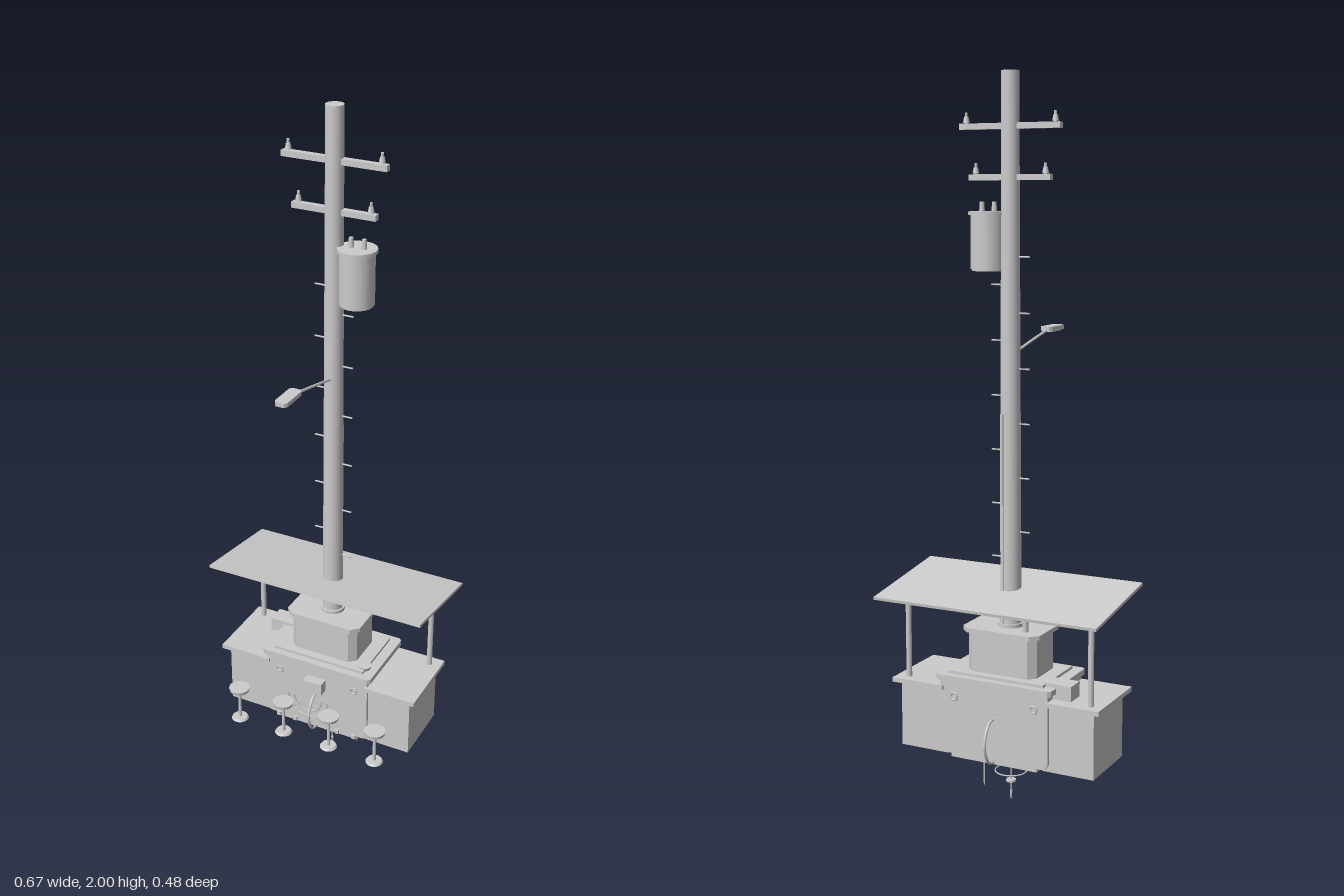
import * as THREE from 'three';

const mat = new THREE.MeshStandardMaterial({ color: 0xcccccc });
const flat = new THREE.MeshStandardMaterial({ color: 0xcccccc, flatShading: true });
const ZC = -0.065; // depth of the pole and body axis

export function createModel() {
  const root = new THREE.Group();
  const add = (name, geo, x, y, z, m = mat) => {
    const mesh = new THREE.Mesh(geo, m);
    mesh.name = name;
    mesh.position.set(x, y, z);
    root.add(mesh);
    return mesh;
  };
  const box = (name, w, h, d, x, y, z) => add(name, new THREE.BoxGeometry(w, h, d), x, y, z, flat);
  const cyl = (name, rt, rb, h, x, y, z, n = 16) => add(name, new THREE.CylinderGeometry(rt, rb, h, n), x, y, z);
  const tube = (name, pts, r, n = 24) => add(name, new THREE.TubeGeometry(
    new THREE.CatmullRomCurve3(pts.map(p => new THREE.Vector3(...p))), n, r, 8), 0, 0, 0);
  // Vertical prism with cut corners
  const cutPrism = (name, w, h, d, c, y) => {
    const x = w / 2, z = d / 2;
    const s = new THREE.Shape([[-x + c, -z], [x - c, -z], [x, -z + c], [x, z - c], [x - c, z], [-x + c, z], [-x, z - c], [-x, -z + c]]
      .map(p => new THREE.Vector2(...p)));
    const g = new THREE.ExtrudeGeometry(s, { depth: h, bevelEnabled: false });
    g.rotateX(-Math.PI / 2);
    return add(name, g, 0, y, ZC, flat);
  };

  // Pole with climbing rungs on alternating sides
  cyl('pole', 0.024, 0.03, 1.5, 0, 1.25, ZC, 20);
  for (let i = 0; i < 12; i++) {
    const side = i % 2 ? -1 : 1;
    const rung = cyl('rung', 0.0025, 0.0025, 0.036, side * 0.039, 0.7 + i * 0.0745, ZC, 6);
    rung.rotation.z = Math.PI / 2;
  }
  box('poleConduit', 0.008, 0.6, 0.008, 0.012, 0.8, ZC - 0.028);

  // Crossarms with insulators
  for (const [y, half] of [[1.859, 0.148], [1.727, 0.12]]) {
    box('crossarm', half * 2, 0.016, 0.018, 0, y, ZC);
    for (const s of [-1, 1]) {
      cyl('insulatorPin', 0.004, 0.004, 0.034, s * (half - 0.017), y + 0.02, ZC, 8);
      cyl('insulator', 0.006, 0.009, 0.016, s * (half - 0.017), y + 0.018, ZC, 10);
    }
  }

  // Transformer can
  cyl('transformerBody', 0.048, 0.048, 0.145, 0.066, 1.558, ZC, 20);
  cyl('transformerLid', 0.054, 0.054, 0.01, 0.066, 1.633, ZC, 16);
  cyl('transformerFoot', 0.044, 0.044, 0.006, 0.066, 1.484, ZC, 20);
  for (const x of [0.048, 0.085]) cyl('terminal', 0.006, 0.008, 0.028, x, 1.65, ZC, 10);
  box('transformerBracket', 0.03, 0.09, 0.02, 0.028, 1.56, ZC);

  // Street lamp
  tube('lampArm', [[0, 1.262, -0.04], [0, 1.285, 0.06], [0, 1.307, 0.16]], 0.004);
  const headShape = new THREE.Shape([[-0.012, 0], [0.012, 0], [0.018, 0.008], [0.018, 0.084], [0.012, 0.092], [-0.012, 0.092], [-0.018, 0.084], [-0.018, 0.008]]
    .map(p => new THREE.Vector2(...p)));
  const headGeo = new THREE.ExtrudeGeometry(headShape, { depth: 0.012, bevelEnabled: false });
  headGeo.rotateX(Math.PI / 2);
  add('lampHead', headGeo, 0, 1.317, 0.148, flat);
  box('lampLens', 0.024, 0.004, 0.065, 0, 1.303, 0.197);

  // Sloping roof and its posts
  box('roof', 0.67, 0.008, 0.317, 0, 0.609, -0.085).rotation.x = -0.149;
  for (const s of [-1, 1]) {
    cyl('roofPost', 0.008, 0.008, 0.258, s * 0.28, 0.471, -0.147, 12);
    // Side counters
    box('sideCabinet', 0.15, 0.188, 0.195, s * 0.221, 0.238, ZC);
    box('sideCounter', 0.16, 0.013, 0.228, s * 0.236, 0.337, ZC);
  }

  // Central body, wider than its cut lower corners
  const front = new THREE.Shape([[-0.132, 0.14], [0.132, 0.14], [0.132, 0.15], [0.155, 0.15], [0.165, 0.165], [0.165, 0.36], [-0.165, 0.36], [-0.165, 0.165], [-0.155, 0.15], [-0.132, 0.15]]
    .map(p => new THREE.Vector2(...p)));
  add('centreBody', new THREE.ExtrudeGeometry(front, { depth: 0.214, bevelEnabled: false }), 0, 0, ZC - 0.107, flat);
  cutPrism('centreSlab', 0.352, 0.016, 0.232, 0.008, 0.36);
  box('slabStep', 0.29, 0.008, 0.19, 0, 0.38, ZC);
  cutPrism('upperBox', 0.21, 0.12, 0.142, 0.02, 0.38);
  cutPrism('upperLid', 0.235, 0.012, 0.162, 0.022, 0.496);
  cyl('poleCollar', 0.036, 0.036, 0.012, 0, 0.512, ZC, 20);

  // Chimney with a bent top
  cyl('chimney', 0.008, 0.008, 0.055, -0.065, 0.533, -0.105, 12);
  cyl('chimneyMouth', 0.008, 0.008, 0.026, -0.065, 0.556, -0.11, 12).rotation.x = Math.PI / 2;

  // Fittings on the counters
  box('counterBox', 0.085, 0.042, 0.055, -0.178, 0.365, -0.115);
  cyl('plate', 0.02, 0.016, 0.012, 0.138, 0.382, 0, 16);

  // Front and back fittings
  box('frontBox', 0.06, 0.038, 0.032, 0, 0.305, 0.056);
  for (const s of [-1, 1]) {
    for (const z of [0.043, -0.173]) add('ringHandle', new THREE.TorusGeometry(0.01, 0.003, 6, 14), s * 0.122, 0.316, z);
    for (const x of [0.07, 0.125]) box('lowerClip', 0.012, 0.012, 0.01, s * x, 0.15, 0.045);
  }
  for (const r of [0.045, 0.065]) {
    const cable = add('hangingCable', new THREE.TorusGeometry(r, 0.003, 6, 24, Math.PI), -0.028, 0.24, 0.046);
    cable.rotation.z = Math.PI;
  }
  for (const [z, s] of [[0.035, 1], [-0.165, -1]]) {
    tube('hoseLoop', [[0, 0.27, z], [0, 0.262, z + s * 0.034], [0, 0.207, z + s * 0.058], [0, 0.155, z + s * 0.036], [0, 0.143, z]], 0.004);
  }

  // Dangling parts below the floor
  const ring = add('lowerRing', new THREE.TorusGeometry(0.045, 0.002, 6, 28), 0, 0.085, ZC);
  ring.rotation.x = Math.PI / 2;
  cyl('hangingStem', 0.002, 0.002, 0.135, 0, 0.075, ZC, 6);
  cyl('hangingDisc', 0.014, 0.014, 0.006, 0, 0.055, ZC, 14);
  cyl('hangingTip', 0.004, 0.002, 0.025, 0, 0.0125, ZC, 8);
  cyl('looseWire', 0.002, 0.002, 0.115, 0.08, 0.088, -0.075, 6);

  // Row of stools
  for (const x of [-0.224, -0.075, 0.075, 0.224]) {
    cyl('stoolSeat', 0.031, 0.029, 0.01, x, 0.252, 0.111, 20);
    cyl('stoolStem', 0.005, 0.005, 0.1, x, 0.2, 0.111, 10);
    cyl('stoolBase', 0.022, 0.026, 0.006, x, 0.147, 0.111, 20);
  }
  return root;
}
